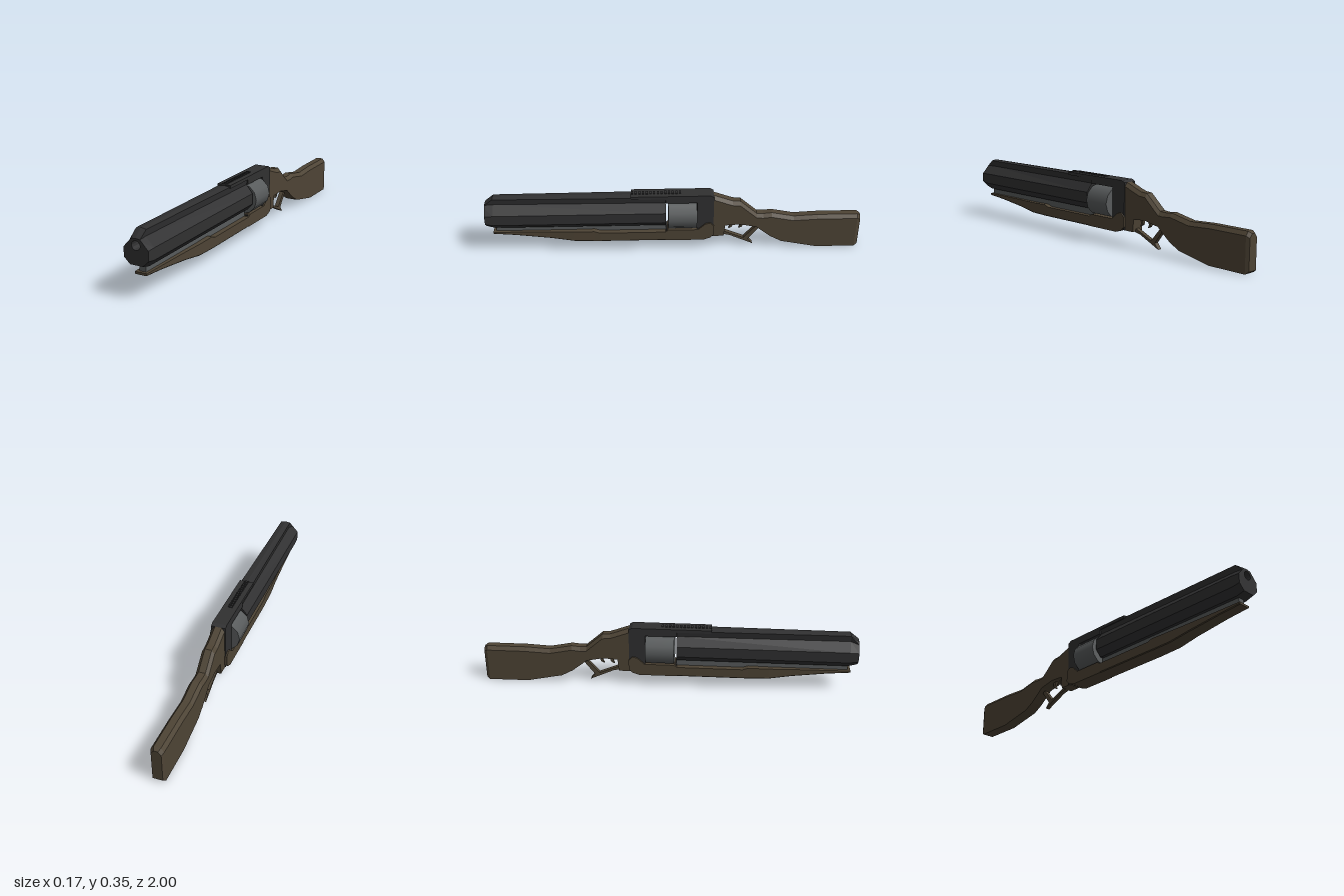
import * as THREE from 'three';

const mat = (color) => new THREE.MeshStandardMaterial({ color, flatShading: true, side: THREE.DoubleSide });
const black = mat(0x303031), steel = mat(0x585b5c), wood = mat(0x4e4435);

// Closed, mirror-symmetric ring from its +x half, listed bottom to top
function ring(half, z) {
  const left = half.filter(([x]) => x > 0).map(([x, y]) => [-x, y]).reverse();
  return [...half, ...left].map(([x, y]) => new THREE.Vector3(x, y, z));
}

// Skin rings running from front to back and cap both ends; hole cuts the front cap
function loft(rings, hole = []) {
  const pos = [];
  const tri = (...pts) => pts.forEach((p) => pos.push(p.x, p.y, p.z));
  const n = rings[0].length;
  for (let i = 0; i < rings.length - 1; i++) {
    for (let j = 0; j < n; j++) {
      const k = (j + 1) % n;
      const a = rings[i][j], b = rings[i][k], c = rings[i + 1][j], d = rings[i + 1][k];
      tri(a, c, b);
      tri(b, c, d);
    }
  }
  const cap = (r, h, flip) => {
    const all = [...r, ...h];
    for (const [a, b, c] of THREE.ShapeUtils.triangulateShape(r, h.length ? [h] : [])) {
      flip ? tri(all[a], all[c], all[b]) : tri(all[a], all[b], all[c]);
    }
  };
  cap(rings[0], hole, false);
  cap(rings[rings.length - 1], [], true);
  const g = new THREE.BufferGeometry();
  g.setAttribute('position', new THREE.Float32BufferAttribute(pos, 3));
  g.computeVertexNormals();
  return g;
}

// Side profile of [z, y] points, extruded to half width w about x = 0
function plate(points, w) {
  const shape = new THREE.Shape(points.map(([z, y]) => new THREE.Vector2(z, y)));
  const g = new THREE.ExtrudeGeometry(shape, { depth: 2 * w, bevelEnabled: false });
  return g.rotateY(-Math.PI / 2).translate(w, 0, 0);
}

// Box given by its half width and its y and z ranges
function block(w, y0, y1, z0, z1) {
  return new THREE.BoxGeometry(2 * w, y1 - y0, z1 - z0).translate(0, (y0 + y1) / 2, (z0 + z1) / 2);
}

export function createModel() {
  const model = new THREE.Group();
  const add = (name, geometry, material, parent = model) => {
    const m = new THREE.Mesh(geometry, material);
    m.name = name;
    parent.add(m);
    return m;
  };

  // Barrel shroud: faceted body with a narrow raised rib, bevelled at the muzzle
  const body = (neck, z) => ring([
    [0.036, 0.162], [0.067, 0.197], [0.067, 0.255], [neck - 0.005, 0.3], [neck, 0.333], [0, 0.338],
  ], z);
  const muzzle = ring([
    [0.034, 0.174], [0.066, 0.204], [0.066, 0.253], [0.034, 0.287], [0.024, 0.298], [0, 0.301],
  ], 1);
  const boreY = 0.267, boreR = 0.023;
  const hole = Array.from({ length: 12 }, (_, i) => {
    const a = (i / 12) * Math.PI * 2;
    return new THREE.Vector3(Math.cos(a) * boreR, boreY + Math.sin(a) * boreR, 1);
  });
  add('barrel', loft([muzzle, body(0.027, 0.955), body(0.036, 0.047)], hole), black);
  add('bore', new THREE.CylinderGeometry(boreR, boreR, 0.2, 12, 1, true)
    .rotateX(Math.PI / 2).translate(0, boreY, 0.9), black);
  add('boreEnd', new THREE.CircleGeometry(boreR, 12).translate(0, boreY, 0.81), black);

  // Receiver frame with an open window for the cylinder
  add('receiver', plate([
    [0.047, 0.3], [0.047, 0.343], [-0.19, 0.343], [-0.208, 0.333], [-0.208, 0.085],
    [0.047, 0.085], [0.047, 0.13], [-0.12, 0.13], [-0.12, 0.3],
  ], 0.039), black);
  add('topStrap', block(0.039, 0.326, 0.343, 0.04, 0.23), black);

  // Sight rail
  const rail = new THREE.Group();
  rail.name = 'sightRail';
  model.add(rail);
  for (let i = 0; i < 14; i++) {
    const z = -0.035 + i * 0.0195;
    add('railTooth', block(0.012, 0.34, 0.348, z, z + 0.011), black, rail);
  }

  // Revolving cylinder
  const smoothSteel = steel.clone();
  smoothSteel.flatShading = false;
  add('cylinder', new THREE.CylinderGeometry(0.083, 0.083, 0.152, 12)
    .rotateZ(0).rotateX(Math.PI / 2).rotateZ(Math.PI / 2).translate(0, 0.214, -0.042), smoothSteel);

  // Tube bar under the barrel
  add('underBar', block(0.018, 0.118, 0.17, 0.045, 0.955), steel);

  // Forearm: [z, top, bottom, half width]
  add('forearm', loft([
    [0.97, 0.13, 0.118, 0.033], [0.85, 0.13, 0.109, 0.035], [0.66, 0.13, 0.088, 0.039],
    [0.54, 0.13, 0.07, 0.044], [0.43, 0.132, 0.068, 0.046], [0.4, 0.122, 0.068, 0.047],
    [0.0, 0.122, 0.068, 0.047],
  ].map(([z, t, b, w]) => ring([[w - 0.004, b], [w, b + 0.004], [w, t]], z))), wood);

  // Wooden housing under and behind the cylinder
  add('lowerHousing', plate([
    [0.05, 0.122], [0.035, 0.134], [-0.125, 0.134], [-0.165, 0.17], [-0.19, 0.175], [-0.21, 0.155],
    [-0.21, 0.1], [-0.19, 0.08], [-0.155, 0.068], [0.05, 0.068],
  ], 0.047), wood);

  // Stock: [z, top, bottom], upper edges chamfered
  add('stock', loft([
    [-0.2, 0.336, 0.082], [-0.265, 0.312, 0.082], [-0.272, 0.309, 0.15], [-0.31, 0.296, 0.152],
    [-0.35, 0.293, 0.155], [-0.44, 0.214, 0.137], [-0.475, 0.212, 0.108], [-0.52, 0.217, 0.073],
    [-0.58, 0.205, 0.04], [-0.64, 0.193, 0.028], [-0.77, 0.2, 0.001], [-0.983, 0.2, 0],
    [-1, 0.19, 0.013],
  ].map(([z, t, b]) => {
    const w = z === -1 ? 0.026 : 0.034;
    return ring([[w, b], [w, t - 0.02], [w - 0.016, t]], z);
  })), wood);

  // Lever and its rear strut
  add('lever', plate([
    [-0.25, 0.105], [-0.27, 0.096], [-0.375, 0.052], [-0.438, 0.125], [-0.455, 0.115],
    [-0.4, 0.043], [-0.425, 0.013], [-0.405, 0.022], [-0.3, 0.07], [-0.25, 0.082],
  ], 0.012), wood);

  // Two curved triggers
  for (const z of [-0.3, -0.355]) {
    add('trigger', plate([
      [z + 0.012, 0.158], [z, 0.13], [z + 0.008, 0.112], [z - 0.008, 0.12], [z - 0.014, 0.132], [z - 0.012, 0.158],
    ], 0.007), wood);
  }
  return model;
}
